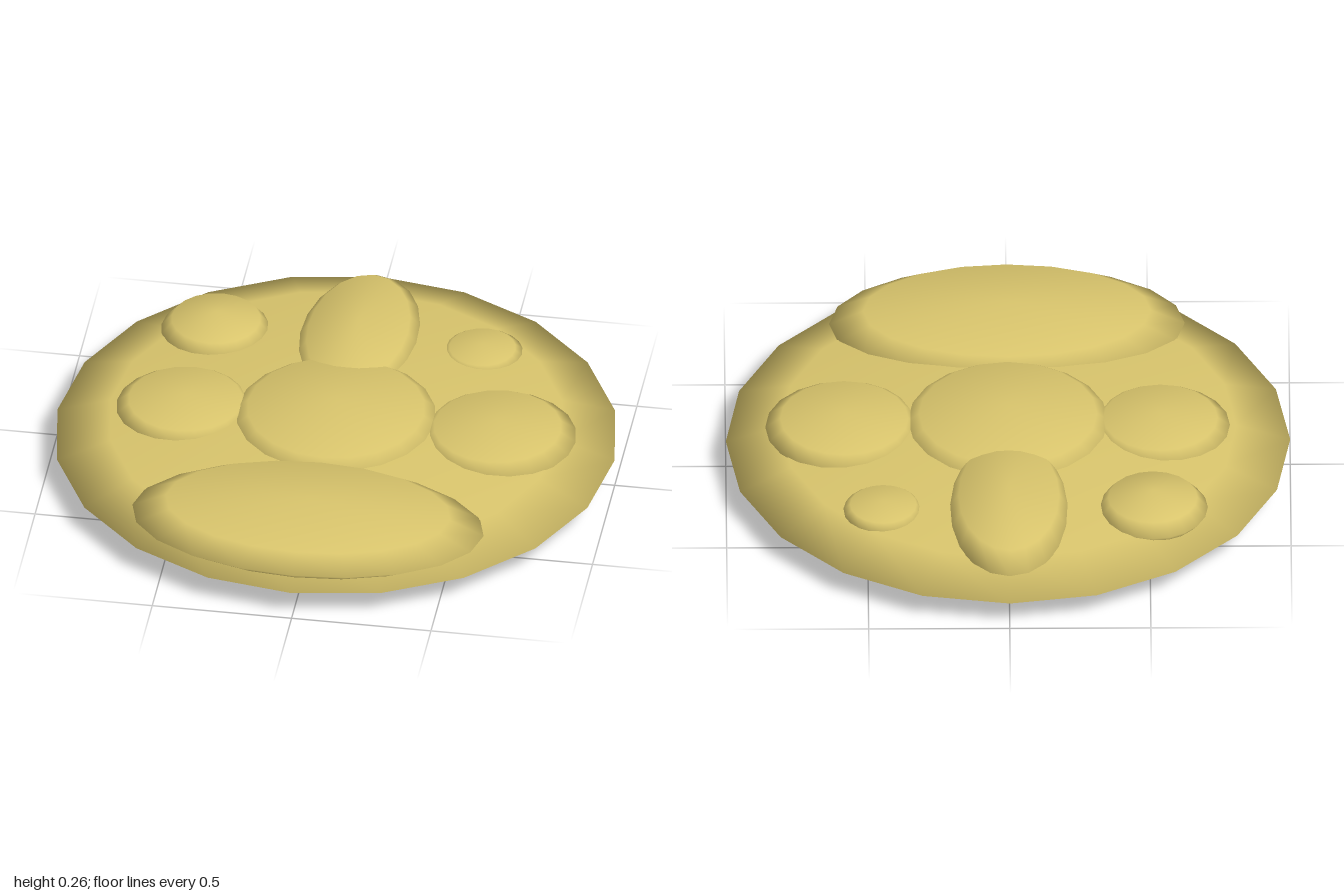
import * as THREE from 'three';

// Unit pebble: 20 sides, smooth shaded, with rings at these angles from the pole
const RINGS = [0, 54, 90, 126, 180];

function pebbleGeometry(rx, ry, rz) {
  const geo = new THREE.SphereGeometry(1, 20, RINGS.length - 1);
  const pos = geo.attributes.position;
  const normal = geo.attributes.normal;
  for (let i = 0; i < pos.count; i++) {
    const polar = THREE.MathUtils.degToRad(RINGS[Math.floor(i / 21)]);
    const around = ((i % 21) / 20) * Math.PI * 2;
    const x = -Math.cos(around) * Math.sin(polar);
    const y = Math.cos(polar);
    const z = Math.sin(around) * Math.sin(polar);
    pos.setXYZ(i, x, y, z);
    normal.setXYZ(i, x, y, z);
  }
  return geo.scale(rx, ry, rz);
}

export function createModel() {
  const model = new THREE.Group();
  model.name = 'studdedDisc';
  const sand = new THREE.MeshStandardMaterial({ color: 0xd8c46c });
  sand.name = 'sandYellow';

  // name, centre, radii
  const parts = [
    ['discBody', [0, 0.108, 0], [1, 0.108, 1]],
    ['centreDome', [0, 0.17, 0], [0.39, 0.095, 0.39]],
    ['frontDome', [0, 0.17, 0.63], [0.63, 0.095, 0.35]],
    ['backDome', [0, 0.17, -0.5], [0.22, 0.095, 0.42]],
    ['leftDome', [0.58, 0.17, 0], [0.28, 0.065, 0.28]],
    ['rightDome', [-0.54, 0.17, 0], [0.25, 0.06, 0.25]],
    ['backRightStud', [-0.51, 0.17, -0.5], [0.195, 0.075, 0.195]],
    ['backLeftStud', [0.445, 0.17, -0.505], [0.145, 0.036, 0.145]],
  ];
  for (const [name, centre, radii] of parts) {
    const mesh = new THREE.Mesh(pebbleGeometry(...radii), sand);
    mesh.name = name;
    mesh.position.set(...centre);
    model.add(mesh);
  }
  return model;
}
